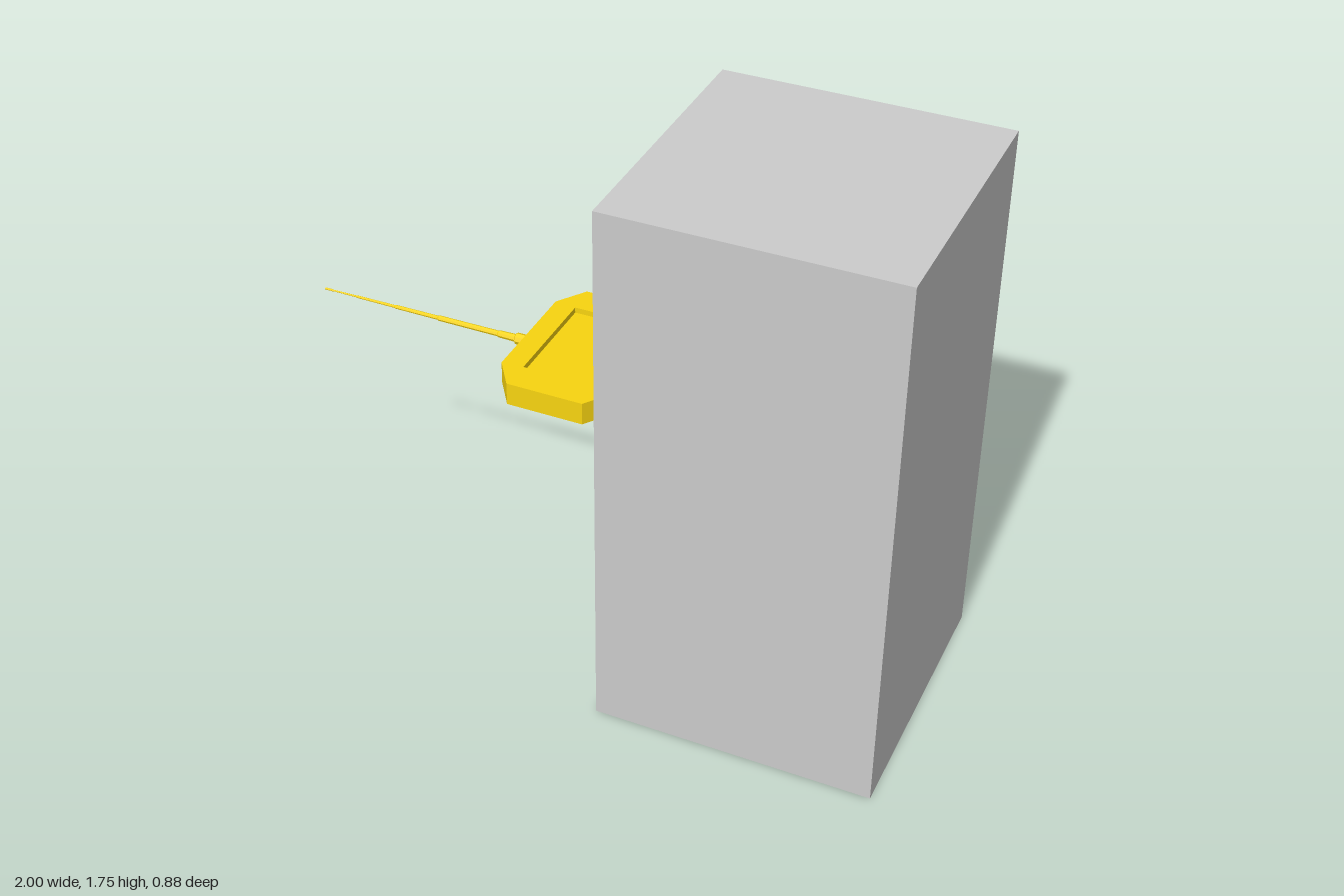
import * as THREE from 'three';

const grey = new THREE.MeshStandardMaterial({ color: 0xcccccc, flatShading: true });
const yellow = new THREE.MeshStandardMaterial({ color: 0xf8d410, flatShading: true });

function add(parent, name, geometry, material, x, y, z) {
  const mesh = new THREE.Mesh(geometry, material);
  mesh.name = name;
  mesh.position.set(x, y, z);
  parent.add(mesh);
  return mesh;
}

// Rectangle with cut corners, centred on the origin
function octagon(w, d, cx, cz) {
  const a = w / 2, b = d / 2;
  return [
    [a, cz - b], [a, b - cz], [a - cx, b], [cx - a, b],
    [-a, b - cz], [-a, cz - b], [cx - a, -b], [a - cx, -b],
  ].map(([x, y]) => new THREE.Vector2(x, y));
}

export function createModel() {
  const model = new THREE.Group();

  // Tall block
  add(model, 'block', new THREE.BoxGeometry(0.875, 1.75, 0.875), grey, 0.5625, 0.875, 0);

  const device = new THREE.Group();
  device.name = 'device';
  model.add(device);

  // Eight-sided case: solid base, and a rim around the sunken panel
  const slab = (height, hole) => {
    const shape = new THREE.Shape(octagon(0.365, 0.54, 0.062, 0.09));
    if (hole) shape.holes.push(hole);
    return new THREE.ExtrudeGeometry(shape, { depth: height, bevelEnabled: false }).rotateX(-Math.PI / 2);
  };
  const recess = new THREE.Path([[-0.114, -0.174], [-0.114, 0.174], [0.114, 0.174], [0.114, -0.174]]
    .map(([x, y]) => new THREE.Vector2(x, y)));
  add(device, 'caseBase', slab(0.054), yellow, -0.112, 0.925, 0);
  add(device, 'caseRim', slab(0.018, recess), yellow, -0.112, 0.979, 0);

  // Stepped antenna pointing to -x: radius and distance from the case
  const steps = [
    [0, -0.005], [0.018, -0.005], [0.018, 0.042], [0.012, 0.046], [0.011, 0.1],
    [0.009, 0.105], [0.0085, 0.305], [0.0065, 0.31], [0.006, 0.455],
    [0.0045, 0.46], [0.004, 0.59], [0.003, 0.595], [0.0025, 0.675],
    [0.0035, 0.68], [0.0035, 0.705], [0, 0.705],
  ].map(([r, d]) => new THREE.Vector2(r, d));
  add(device, 'antenna', new THREE.LatheGeometry(steps, 8).rotateZ(Math.PI / 2), yellow, -0.295, 0.96, 0);

  return model;
}
